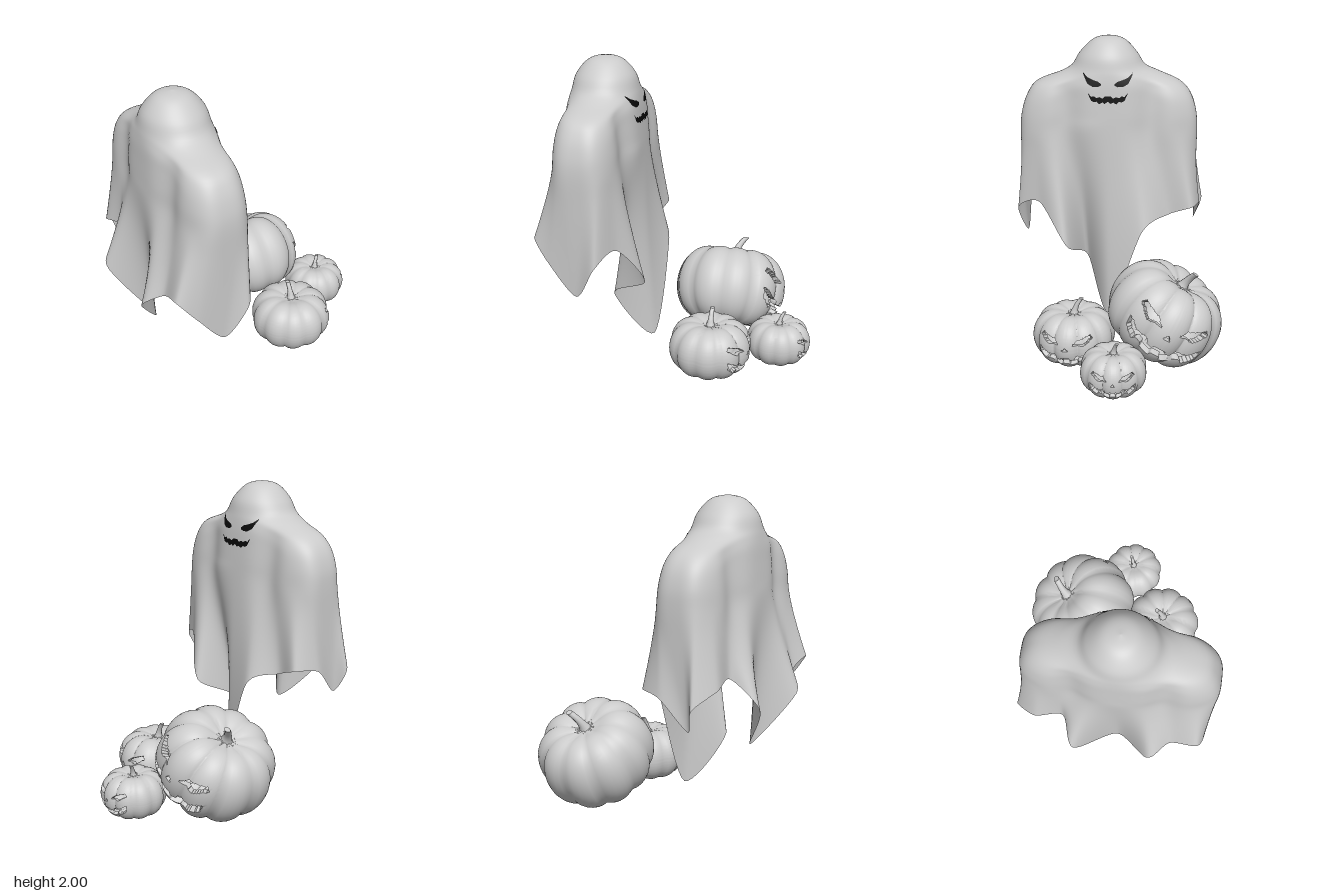
import * as THREE from 'three';
import { toCreasedNormals } from 'three/addons/utils/BufferGeometryUtils.js';

const grey = new THREE.MeshStandardMaterial({ color: 0xcccccc });
const cloth = new THREE.MeshStandardMaterial({ color: 0xcccccc, side: THREE.DoubleSide });
const black = new THREE.MeshStandardMaterial({ color: 0x0a0a0a, side: THREE.DoubleSide });

function part(name, geometry, material) {
  const mesh = new THREE.Mesh(geometry, material);
  mesh.name = name;
  return mesh;
}

function indexed(positions, index) {
  const g = new THREE.BufferGeometry();
  g.setAttribute('position', new THREE.Float32BufferAttribute(positions, 3));
  g.setIndex(index);
  g.computeVertexNormals();
  return g;
}

// ---------- draped sheet ----------
const CX = -0.478, CZ = 0.05;
// height, half width in x, reach towards +z, reach towards -z, roundness of the ends, pinch beside the head
const LEVELS = [
  [2, 0, 0, 0, 1, 0], [1.985, 0.08, 0.08, 0.08, 1, 0], [1.95, 0.135, 0.135, 0.135, 1, 0],
  [1.88, 0.188, 0.2, 0.195, 1, 0], [1.8, 0.21, 0.25, 0.25, 1, 0], [1.75, 0.22, 0.335, 0.36, 1, 0.08],
  [1.69, 0.228, 0.485, 0.485, 0.8, 0.16], [1.61, 0.234, 0.55, 0.555, 0.65, 0.18],
  [1.5, 0.242, 0.588, 0.592, 0.58, 0.18], [1.38, 0.248, 0.602, 0.602, 0.55, 0.17],
];
// hem once around, starting at the long front tail and turning towards +z
const HEM = [
  [-0.18, 0.1, 0.05], [-0.41, 0.44, 0.2], [-0.15, 0.61, 0.33], [-0.27, 0.89, 0.52], [-0.36, 0.82, 0.68],
  [-0.5, 0.6, 0.63], [-0.68, 0.8, 0.62], [-0.79, 0.94, 0.57], [-0.78, 0.88, 0.4], [-0.87, 0.76, 0.27],
  [-0.67, 0.45, 0.05], [-0.87, 0.76, -0.21], [-0.71, 0.95, -0.29], [-0.73, 0.92, -0.47], [-0.64, 0.82, -0.61],
  [-0.58, 0.67, -0.55], [-0.4, 0.85, -0.58], [-0.24, 0.87, -0.52], [-0.26, 0.81, -0.36], [-0.14, 0.72, -0.18],
];

function sheetGeometry() {
  const N = 180, M = 52, pos = [], idx = [];
  const hem = new THREE.CatmullRomCurve3(HEM.map(p => new THREE.Vector3(...p)), true, 'catmullrom', 0.4);
  for (let j = 0; j < N; j++) {
    const a = j / N * Math.PI * 2, c = Math.cos(a), s = Math.sin(a);
    const pts = LEVELS.map(([y, rx, zp, zn, round, pinch]) => {
      const dz = (s > 0 ? zp : zn) * s;
      const neck = 1 - pinch * Math.exp(-(((Math.abs(dz) - 0.28) / 0.1) ** 2));
      return new THREE.Vector3(CX + rx * neck * Math.sign(c) * Math.abs(c) ** round, y, CZ + dz);
    });
    const top = pts[pts.length - 1], end = hem.getPoint(j / N);
    for (const t of [0.25, 0.5, 0.75, 1]) {
      const w = Math.pow(t, 1.2);
      pts.push(new THREE.Vector3(
        top.x + (end.x - top.x) * w, top.y + (end.y - top.y) * t, top.z + (end.z - top.z) * w));
    }
    const fall = new THREE.CatmullRomCurve3(pts, false, 'catmullrom', 0.5);
    for (let i = 0; i <= M; i++) pos.push(...fall.getPoint(i / M).toArray());
  }
  for (let j = 0; j < N; j++) for (let i = 0; i < M; i++) {
    const a = j * (M + 1) + i, b = ((j + 1) % N) * (M + 1) + i;
    idx.push(a, b, b + 1, a, b + 1, a + 1);
  }
  return indexed(pos, idx);
}

// A painted strip laid on the sheet; rows are [offset from face centre, top y, bottom y]
function painted(sheet, rows) {
  const ray = new THREE.Raycaster(), dir = new THREE.Vector3(-1, 0, 0);
  const pos = [], idx = [], STEPS = 5, ROWS = 3;
  for (let k = 0; k < rows.length - 1; k++) for (let s = k ? 1 : 0; s <= STEPS; s++) {
    const [d, t, b] = rows[k].map((v, n) => v + (rows[k + 1][n] - v) * s / STEPS);
    for (let r = 0; r <= ROWS; r++) {
      const y = t + (b - t) * r / ROWS, z = CZ - d;
      ray.set(new THREE.Vector3(1, y, z), dir);
      pos.push(ray.intersectObject(sheet)[0].point.x + 0.004, y, z);
    }
  }
  const cols = pos.length / 3 / (ROWS + 1);
  for (let c = 0; c < cols - 1; c++) for (let r = 0; r < ROWS; r++) {
    const a = c * (ROWS + 1) + r, b = a + ROWS + 1;
    idx.push(a, a + 1, b + 1, a, b + 1, b);
  }
  return indexed(pos, idx);
}

function makeGhost() {
  const g = new THREE.Group();
  g.name = 'ghost';
  const sheet = part('sheet', sheetGeometry(), cloth);
  g.add(sheet);
  const flip = rows => rows.map(([d, t, b]) => [-d, t, b]).reverse();
  const eye = [[-0.162, 1.785, 1.775], [-0.135, 1.76, 1.72], [-0.1, 1.745, 1.7], [-0.065, 1.735, 1.7], [-0.045, 1.72, 1.71]];
  g.add(part('leftEye', painted(sheet, eye), black), part('rightEye', painted(sheet, flip(eye)), black));
  const half = [[-0.13, 1.66, 1.655], [-0.11, 1.635, 1.61], [-0.09, 1.64, 1.6], [-0.075, 1.628, 1.605],
    [-0.055, 1.635, 1.588], [-0.035, 1.625, 1.6], [-0.02, 1.64, 1.59]];
  g.add(part('mouth', painted(sheet, [...half, [0, 1.64, 1.605], ...flip(half)]), black));
  return g;
}

// ---------- carved pumpkins ----------
const mirror = poly => poly.map(([a, b]) => [-a, b]).reverse();
const EYE = [[-0.62, 0.29], [-0.42, 0.12], [-0.17, 0.14], [-0.26, 0.24], [-0.56, 0.36]];
const SMILE = [[0, -0.2], [-0.1, -0.2], [-0.12, -0.26], [-0.22, -0.25], [-0.24, -0.17], [-0.46, -0.13], [-0.66, 0.01],
  [-0.64, -0.18], [-0.47, -0.33], [-0.4, -0.27], [-0.3, -0.32], [-0.27, -0.41], [-0.1, -0.43], [-0.08, -0.36], [0, -0.36]];
const HOLES = [EYE, mirror(EYE), [[0, 0.1], [-0.08, 0], [0.08, 0]], [...SMILE, ...mirror(SMILE.slice(1, -1))]];

function inside(poly, x, y) {
  let odd = false;
  poly.forEach(([ax, ay], i) => {
    const [bx, by] = poly[(i + 1) % poly.length];
    if ((ay > y) !== (by > y) && x < ax + (bx - ax) * (y - ay) / (by - ay)) odd = !odd;
  });
  return odd;
}

// Shift that brings a nearby point onto the closest outline
function snap(x, y, reach) {
  let best = reach, move = [0, 0];
  for (const poly of HOLES) poly.forEach(([ax, ay], i) => {
    const [bx, by] = poly[(i + 1) % poly.length], ex = bx - ax, ey = by - ay;
    const t = THREE.MathUtils.clamp(((x - ax) * ex + (y - ay) * ey) / (ex * ex + ey * ey), 0, 1);
    const dx = ax + ex * t - x, dy = ay + ey * t - y, d = Math.hypot(dx, dy);
    if (d < best) { best = d; move = [dx, dy]; }
  });
  return move;
}

// Ribbed shell with an inner wall; cells inside the face outlines are left out
function shellGeometry(R, h) {
  const FACE = 0.84, NF = 84, NB = 48, NV = 64, NU = NF + NB;
  const angle = i => i <= NF ? -FACE + 2 * FACE * i / NF : FACE + (2 * Math.PI - 2 * FACE) * (i - NF) / NB;
  const lat = j => { const s = 2 * j / NV - 1; return Math.PI / 2 * (0.8 * s + 0.2 * s ** 3); };
  const point = (u, v) => {
    const rib = Math.abs(Math.cos(5 * u)) ** 0.6, q = Math.max(Math.cos(v), 0) ** 0.6;
    const r = R * q * (0.91 + 0.09 * rib);
    const dimple = 1 - 0.22 * Math.exp(-((q / 0.35) ** 2));
    return [r * Math.cos(u), h * Math.sin(v) * dimple * (0.95 + 0.05 * rib), -r * Math.sin(u)];
  };
  const pos = [], idx = [], layer = NU * (NV + 1);
  for (let i = 0; i < NU; i++) for (let j = 0; j <= NV; j++) {
    const [x, y, z] = point(angle(i), lat(j));
    const [da, db] = i <= NF ? snap(-z / R, y / R, 0.0125) : [0, 0];
    pos.push(x, y + db * R, z - da * R);
  }
  pos.push(...pos.map(v => v * 0.88));
  const id = (i, j) => ((i + NU) % NU) * (NV + 1) + j;
  const cut = (i, j) => {
    if (i < 0 || i >= NF) return false;
    const corners = [id(i, j), id(i + 1, j), id(i + 1, j + 1), id(i, j + 1)];
    const mean = k => corners.reduce((sum, c) => sum + pos[c * 3 + k], 0) / 4 / R;
    return HOLES.some(p => inside(p, -mean(2), mean(1)));
  };
  for (let i = 0; i < NU; i++) for (let j = 0; j < NV; j++) {
    if (cut(i, j)) continue;
    const q = [id(i, j), id(i + 1, j), id(i + 1, j + 1), id(i, j + 1)];
    const [a, b, c, d] = q, L = layer;
    idx.push(a, b, c, a, c, d, a + L, c + L, b + L, a + L, d + L, c + L);
    // cut edge between outer and inner wall
    [[0, -1], [1, 0], [0, 1], [-1, 0]].forEach(([di, dj], e) => {
      if (j + dj < 0 || j + dj >= NV || !cut(i + di, j + dj)) return;
      const p = q[e], n = q[(e + 1) % 4];
      idx.push(n, p, p + L, n, p + L, n + L);
    });
  }
  return toCreasedNormals(indexed(pos, idx), 1.1);
}

// Tapered stem that bends over towards its tip
function stemGeometry(R, h, lean) {
  const y0 = 0.68 * h, len = 0.93 * R - y0;
  const g = new THREE.CylinderGeometry(0.055 * R, 0.07 * R, len, 10, 10);
  const p = g.attributes.position;
  for (let i = 0; i < p.count; i++) {
    const t = p.getY(i) / len + 0.5, flare = 1 + 1.2 * (1 - t) ** 4, bend = 0.18 * R * t * t;
    p.setXYZ(i, p.getX(i) * flare + bend * Math.cos(lean), y0 + len * t, p.getZ(i) * flare - bend * Math.sin(lean));
  }
  return toCreasedNormals(g, 0.8);
}

function makePumpkin(name, R, h, position, tilt, yaw, lean) {
  const g = new THREE.Group();
  g.name = name;
  g.add(part('carvedShell', shellGeometry(R, h), grey), part('stem', stemGeometry(R, h, lean), grey));
  g.position.set(...position);
  g.rotation.set(tilt, yaw, 0);
  return g;
}

export function createModel() {
  const model = new THREE.Group();
  model.name = 'ghostWithPumpkins';
  model.add(
    makeGhost(),
    makePumpkin('largePumpkin', 0.382, 0.277, [0.26, 0.332, -0.335], -0.52, 0, 0.2),
    makePumpkin('mediumPumpkin', 0.268, 0.18, [0.262, 0.178, 0.255], 0, -0.17, 1.7),
    makePumpkin('smallPumpkin', 0.209, 0.144, [0.665, 0.14, -0.013], 0, 0, 0.6),
  );
  return model;
}
